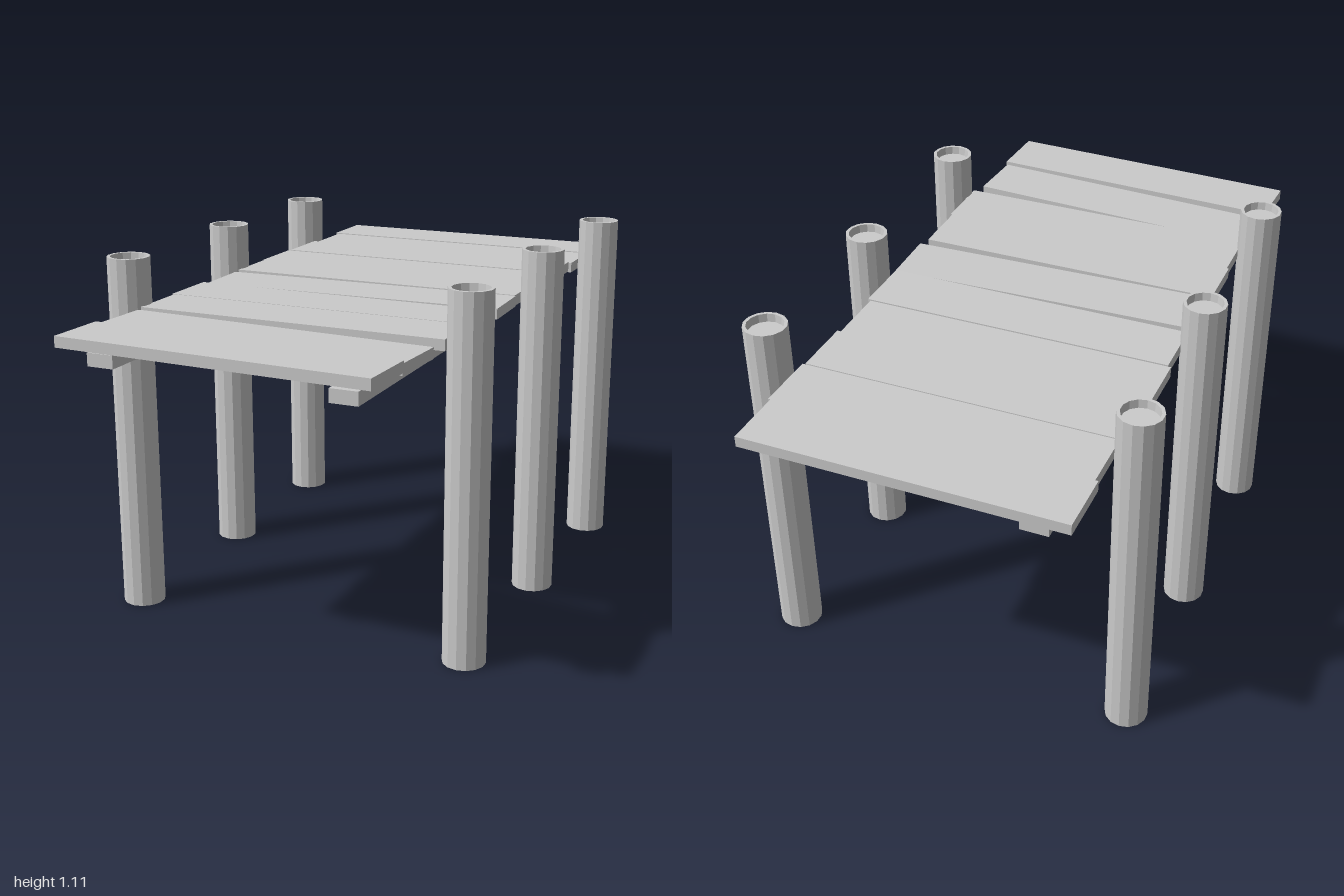
import * as THREE from 'three';

export function createModel() {
  const group = new THREE.Group();
  group.name = 'dock';
  const material = new THREE.MeshStandardMaterial({ color: 0xcccccc, flatShading: true });

  const add = (name, geometry, x, y, z, turn = 0) => {
    const mesh = new THREE.Mesh(geometry, material);
    mesh.name = name;
    mesh.position.set(x, y, z);
    mesh.rotation.y = turn;
    group.add(mesh);
  };

  // Posts: round piles with a shallow recess in the top
  const postProfile = [
    [0, 0], [0.065, 0], [0.065, 1.11], [0.055, 1.11], [0.053, 1.085], [0, 1.085],
  ].map(([r, y]) => new THREE.Vector2(r, y));
  const postGeometry = new THREE.LatheGeometry(postProfile, 14);
  const posts = [
    { z: -0.67, left: 0.555, right: -0.56 },
    { z: -0.09, left: 0.54, right: -0.557 },
    { z: 0.52, left: 0.53, right: -0.557 },
  ];
  for (const { z, left, right } of posts) {
    add('leftPost', postGeometry, left, 0, z);
    add('rightPost', postGeometry, right, 0, z);
  }

  // Two long beams carrying the deck
  const beamGeometry = new THREE.BoxGeometry(0.082, 0.039, 1.915);
  add('leftBeam', beamGeometry, 0.365, 0.907, 0.027);
  add('rightBeam', beamGeometry, -0.388, 0.907, -0.018);

  // Deck planks, some laid crooked: x, z, turn, drop
  const plankGeometry = new THREE.BoxGeometry(0.968, 0.033, 0.19);
  const planks = [
    [-0.015, -0.905, 0, 0],
    [-0.005, -0.715, 0, 0.003],
    [-0.015, -0.525, 0, 0],
    [-0.025, -0.333, 0, 0.002],
    [-0.015, -0.14, 0, 0],
    [-0.01, 0.063, 0.028, 0.002],
    [-0.022, 0.27, 0, 0],
    [-0.015, 0.46, 0, 0.001],
    [-0.03, 0.678, -0.058, 0.01],
    [-0.035, 0.88, -0.04, 0],
  ];
  for (const [x, z, turn, drop] of planks) {
    add('plank', plankGeometry, x, 0.951 - drop, z, turn);
  }
  return group;
}
